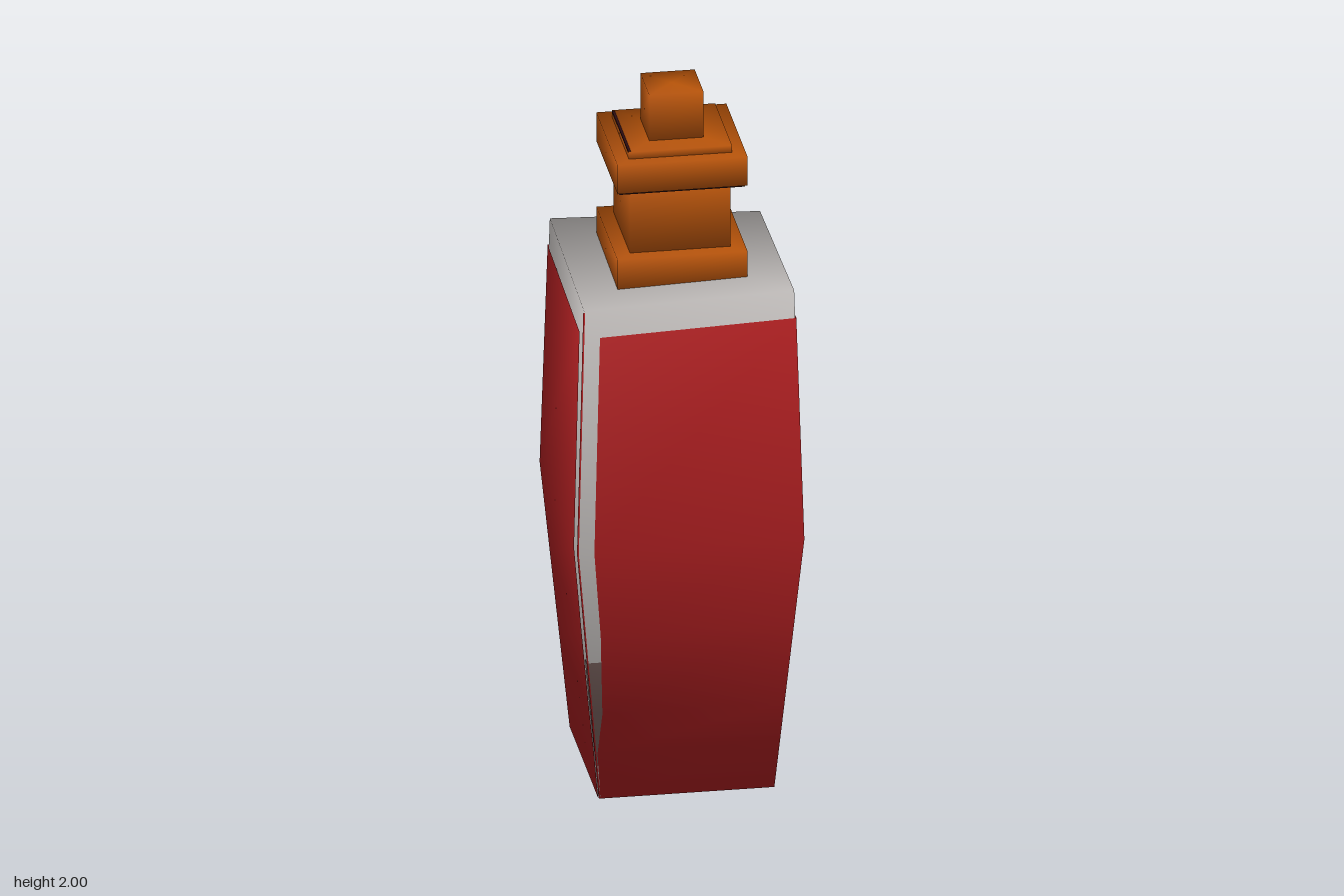
import * as THREE from 'three';
import { mergeVertices } from 'three/addons/utils/BufferGeometryUtils.js';

const mat = (name, color, side = THREE.FrontSide) => {
  const m = new THREE.MeshStandardMaterial({ color, side });
  m.name = name;
  return m;
};

// Half diagonal of the diamond-shaped bottle at height y
function radius(y) {
  return y < 0.76 ? 0.337 + (0.1 * y) / 0.76 : 0.437 - (0.03 * (y - 0.76)) / 0.73;
}

// Soft normals that swell outwards from height mid
function soften(g, mid, lift) {
  const pos = g.attributes.position, n = new THREE.Vector3(), normals = [];
  for (let i = 0; i < pos.count; i++) {
    n.set(pos.getX(i), (pos.getY(i) - mid) * lift, pos.getZ(i)).normalize();
    normals.push(n.x, n.y, n.z);
  }
  g.setAttribute('normal', new THREE.Float32BufferAttribute(normals, 3));
  return g;
}

function indexed(points, index) {
  const g = new THREE.BufferGeometry();
  g.setAttribute('position', new THREE.Float32BufferAttribute(points, 3));
  g.setIndex(index);
  return soften(g, 0.8, 0.35);
}

// Bottle body: three diamond rings; group 0 is walls and shoulder, group 1 the underside
function bodyGeometry() {
  const points = [], index = [];
  const rings = [[0, 0], [0.76, 0.76], [1.47, 1.49]]; // height at x corners, at z corners
  for (const [yx, yz] of rings) {
    const a = radius(yx), b = radius(yz);
    points.push(0, yz, b, a, yx, 0, 0, yz, -b, -a, yx, 0);
  }
  for (let r = 0; r < 2; r++) {
    for (let c = 0; c < 4; c++) {
      const p = r * 4 + c, q = r * 4 + ((c + 1) % 4);
      index.push(p, q, q + 4, p, q + 4, p + 4);
    }
  }
  index.push(8, 9, 10, 8, 10, 11); // shoulder, folded along z
  const upper = index.length;
  index.push(0, 2, 1, 0, 3, 2); // underside
  const g = indexed(points, index);
  g.addGroup(0, upper, 0);
  g.addGroup(upper, 6, 1);
  return g;
}

// Sheet of three columns, folded along its middle column
function foldedSheet(points) {
  const index = [];
  for (let r = 0; r < points.length / 9 - 1; r++) {
    for (let c = 0; c < 2; c++) {
      const p = r * 3 + c;
      index.push(p, p + 1, p + 4, p, p + 4, p + 3);
    }
  }
  return indexed(points, index);
}

// Thin panel wrapped round the front corner, leaving bare strips at the x corners
function panelGeometry() {
  // height at edge, height at z corner, width of the bare strip
  const rows = [[0, 0, 0.002], [0.14, 0.14, 0.004], [0.26, 0.26, 0.02], [0.5, 0.5, 0.03],
    [0.76, 0.76, 0.032], [1.39, 1.41, 0.032]];
  return foldedSheet(rows.flatMap(([ye, yc, w]) => {
    const x = radius(ye) - w + 0.002;
    return [-x, ye, w + 0.002, 0, yc, radius(yc) + 0.004, x, ye, w + 0.002];
  }));
}

// Narrow strip folded over the left corner: rows of height and half width
function cornerStrip(rows, offset) {
  return foldedSheet(rows.flatMap(([y, w]) => {
    const x = radius(y) + offset;
    return [x - w, y, w, x, y, 0, x - w, y, -w];
  }));
}

// Four-sided block with soft shared normals
function blockGeometry(r, y0, y1) {
  const g = new THREE.CylinderGeometry(r, r, y1 - y0, 4);
  g.translate(0, (y0 + y1) / 2, 0);
  g.deleteAttribute('uv');
  g.deleteAttribute('normal');
  return soften(mergeVertices(g, 1e-4), (y0 + y1) / 2, (1.42 * r) / (y1 - y0));
}

export function createModel() {
  const grey = mat('pale grey', 0xc2bebc);
  const red = mat('label red', 0xaa1e20, THREE.DoubleSide);
  const orange = mat('cap orange', 0xb85408);
  const brown = mat('dull brown', 0x7c6460, THREE.DoubleSide);
  const maroon = mat('dark maroon', 0x2c0c12);
  const group = new THREE.Group();
  const add = (name, geometry, material) => {
    const mesh = new THREE.Mesh(geometry, material);
    mesh.name = name;
    group.add(mesh);
    return mesh;
  };

  add('bottleBody', bodyGeometry(), [grey, brown]);

  // Panels and corner trim, repeated half a turn round
  const panel = panelGeometry();
  const seam = cornerStrip([[0, 0.003], [0.76, 0.003], [1.465, 0.003]], 0.002);
  const fade = cornerStrip([[0.1, 0.006], [0.26, 0.024], [0.42, 0.028]], 0.001);
  for (const [side, corner, turn] of [['front', 'left', 0], ['back', 'right', Math.PI]]) {
    add(side + 'Panel', panel, red).rotation.y = turn;
    add(corner + 'Seam', seam, red).rotation.y = turn;
    add(corner + 'LowerTrim', fade, brown).rotation.y = turn;
  }

  // Stacked neck and stopper
  const blocks = [
    ['neckBase', 0.252, 1.468, 1.565],
    ['neck', 0.195, 1.56, 1.765],
    ['collar', 0.252, 1.76, 1.845],
    ['collarStep', 0.2, 1.84, 1.865],
    ['stopper', 0.105, 1.86, 2],
  ];
  for (const [name, r, y0, y1] of blocks) add(name, blockGeometry(r, y0, y1), orange);

  // Dark underside of the collar and groove along one edge of its step
  add('collarUnderside', blockGeometry(0.244, 1.755, 1.761), maroon);
  const groove = add('collarGroove', new THREE.BoxGeometry(0.27, 0.004, 0.007), maroon);
  groove.position.set(-0.098, 1.8635, -0.098);
  groove.rotation.y = Math.PI / 4;
  return group;
}
